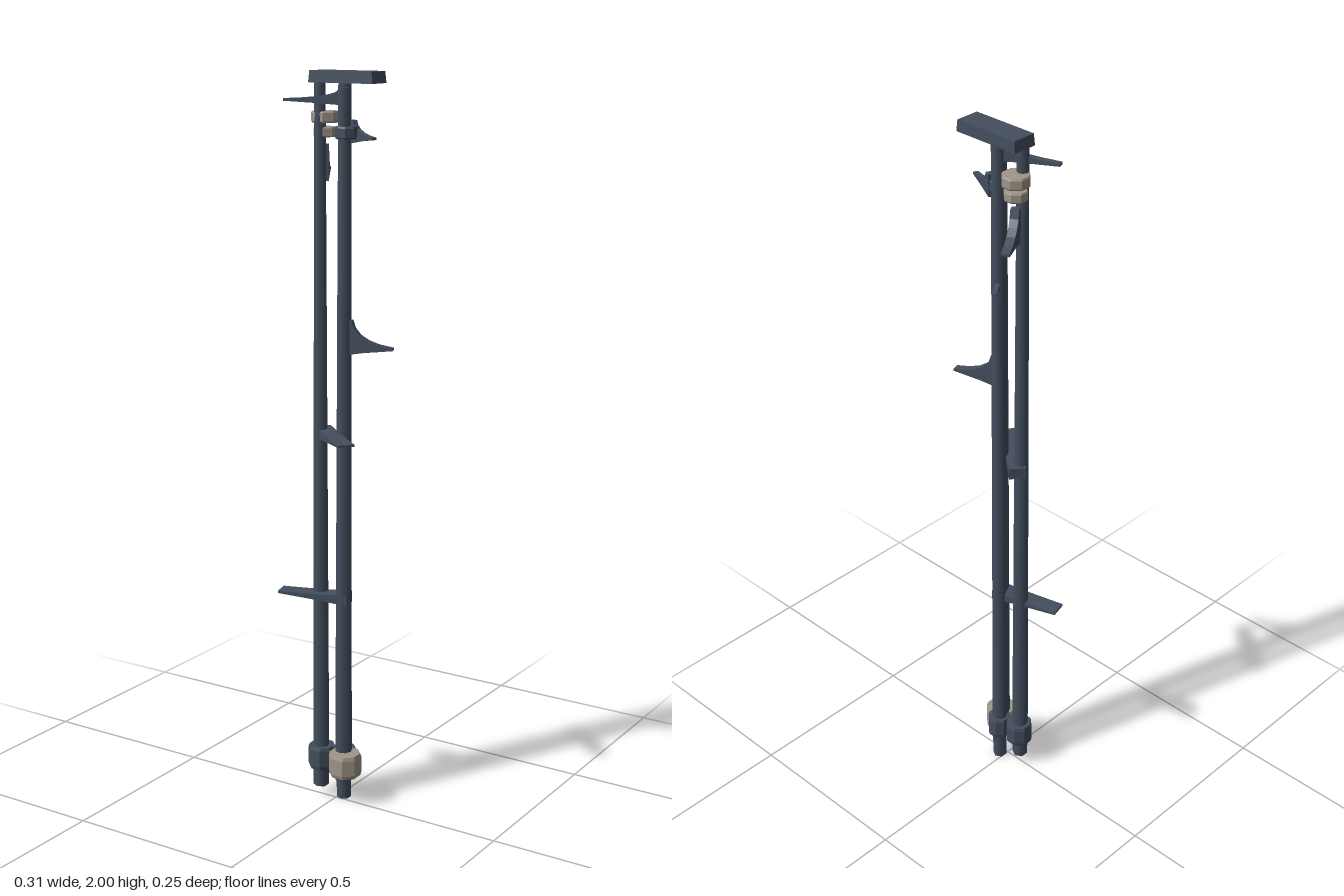
import * as THREE from 'three';

const slate = new THREE.MeshStandardMaterial({ name: 'slate', color: 0x434e5e });
const stone = new THREE.MeshStandardMaterial({ name: 'stone', color: 0xa0968a });

export function createModel() {
  const model = new THREE.Group();

  function add(name, geometry, material, x = 0, y = 0, z = 0) {
    const mesh = new THREE.Mesh(geometry, material);
    mesh.name = name;
    mesh.position.set(x, y, z);
    model.add(mesh);
    return mesh;
  }

  // tapered round part between two heights
  function column(name, x, z, y0, y1, r0, r1, sides, material = slate) {
    const g = new THREE.CylinderGeometry(r1, r0, y1 - y0, sides);
    return add(name, g, material, x, (y0 + y1) / 2, z);
  }

  // chunky collar with softened rims
  function collar(name, x, z, y0, y1, r, material) {
    const b = (y1 - y0) * 0.15;
    const profile = [[0, y0], [r * 0.93, y0], [r, y0 + b], [r, y1 - b], [r * 0.93, y1], [0, y1]];
    const points = profile.map(([px, py]) => new THREE.Vector2(px, py));
    let g = new THREE.LatheGeometry(points, 8, Math.PI / 8).toNonIndexed();
    g.computeVertexNormals();
    return add(name, g, material, x, 0, z);
  }

  // three clustered stalks, each with a foot and a lower collar
  const stalks = [
    { name: 'right', x: -0.048, z: 0.002, foot: 0.03, top: 1.97, r0: 0.023, r1: 0.015, cr: 0.039, cx: -0.046, cz: 0, mat: slate },
    { name: 'back', x: 0.015, z: -0.018, foot: 0, top: 1.98, r0: 0.021, r1: 0.017, cr: 0.034, cx: 0.016, cz: -0.018, mat: slate },
    { name: 'left', x: 0.027, z: 0.003, foot: 0.06, top: 1.96, r0: 0.024, r1: 0.016, cr: 0.046, cx: 0.039, cz: 0.014, mat: stone },
  ];
  for (const s of stalks) {
    column(s.name + 'Stalk', s.x, s.z, 0.08, s.top, s.r0, s.r1, 8);
    column(s.name + 'Foot', s.x, s.z, s.foot, 0.09, s.r0 * 0.95, s.r0, 6);
    collar(s.name + 'LowerCollar', s.cx, s.cz, 0.085, 0.15, s.cr, s.mat);
  }

  // upper collars
  collar('upperStoneCollar', -0.046, -0.02, 1.868, 1.898, 0.037, stone);
  collar('upperStoneCollar', -0.046, -0.02, 1.832, 1.858, 0.031, stone);
  collar('upperSlateCollar', 0.03, -0.005, 1.83, 1.862, 0.031, slate);

  // cap plate, slightly narrower on top
  const cap = new THREE.BoxGeometry(0.193, 0.03, 0.069);
  const p = cap.attributes.position;
  for (let i = 0; i < p.count; i++) {
    if (p.getY(i) > 0) p.setXYZ(i, p.getX(i) * 0.97, p.getY(i), p.getZ(i) * 0.96);
  }
  cap.computeVertexNormals();
  add('capPlate', cap, slate, 0.019, 1.985, -0.0225);

  // thorns: root point, tip point, tip height, width, drop below and rise above the tip at the root
  const thorns = [
    [0.04, -0.005, -0.152, 0.045, 0.597, 0.048, 0.018, 0.012],
    [-0.06, -0.025, 0.1, 0.107, 1.05, 0.045, 0.02, 0.012],
    [0.027, 0, 0.152, -0.04, 1.287, 0.021, 0.018, 0.075],
    [0.015, -0.018, -0.02, -0.07, 1.578, 0.012, 0.008, 0.015],
    [-0.048, -0.02, -0.108, -0.122, 1.738, 0.022, 0.02, 0.075],
    [0.027, -0.03, 0.126, 0.018, 1.832, 0.014, 0.014, 0.045],
    [0.03, -0.02, -0.13, 0.047, 1.924, 0.018, 0.012, 0.03],
  ];
  for (const [x0, z0, x1, z1, y, width, drop, rise] of thorns) {
    const dx = x1 - x0, dz = z1 - z0, len = Math.hypot(dx, dz);
    const s = new THREE.Shape();
    s.moveTo(0, -drop);
    s.lineTo(len * 0.4, -drop * 0.5);
    s.lineTo(len, 0);
    s.lineTo(len, 0.006);
    s.quadraticCurveTo(len * 0.22, rise * 0.15 + 0.006, len * 0.16, rise);
    s.lineTo(0, rise);
    s.closePath();
    const g = new THREE.ExtrudeGeometry(s, { depth: width, bevelEnabled: false, curveSegments: 5 });
    g.translate(0, 0, -width / 2);
    add('thorn', g, slate, x0, y, z0).rotation.y = Math.atan2(-dz, dx);
  }

  return model;
}
